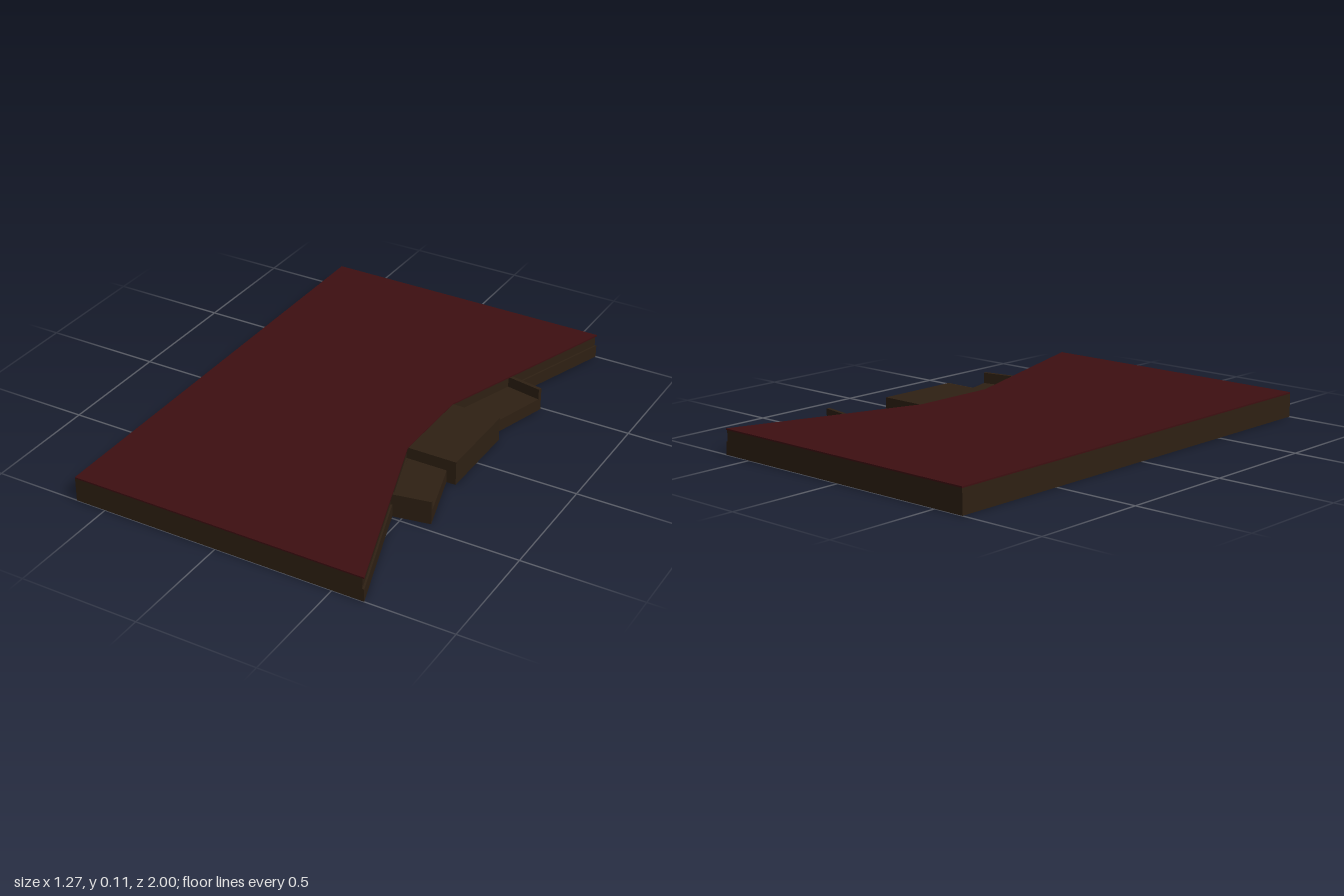
import * as THREE from 'three';

const wood = new THREE.MeshStandardMaterial({ color: 0x2e2013 });
const red = new THREE.MeshStandardMaterial({ color: 0x3d0f11 });

// Upright prism over a floor outline of [x, z] points
function prism(name, outline, y0, y1, material) {
  const shape = new THREE.Shape(outline.map(([x, z]) => new THREE.Vector2(x, -z)));
  const geometry = new THREE.ExtrudeGeometry(shape, { depth: y1 - y0, bevelEnabled: false });
  geometry.rotateX(-Math.PI / 2);
  geometry.translate(0, y0, 0);
  const mesh = new THREE.Mesh(geometry, material);
  mesh.name = name;
  return mesh;
}

// Slab outline with a three-sided bay in the +x edge, pulled in by inset
const slab = (inset) => [
  [-0.633, 1], [0.633 - inset, 1], [0.36 - inset, 0.185],
  [0.36 - inset, -0.195], [0.633 - inset, -1], [-0.633, -1],
];

export function createModel() {
  const group = new THREE.Group();
  group.name = 'desk';

  // Desk body with a shallow recess under the top
  group.add(prism('deskBase', slab(0), 0, 0.054, wood));
  group.add(prism('deskRecess', slab(0.008), 0.054, 0.1, wood));
  group.add(prism('deskTop', slab(0), 0.1, 0.106, red));

  // Full-height block in the middle of the bay
  group.add(prism('centreBlock',
    [[0.35, 0.18], [0.57, 0.18], [0.57, -0.195], [0.35, -0.195]], 0, 0.103, wood));

  // Angled low shelves on both sides, each closed by an end wall
  for (const side of [1, -1]) {
    const at = (x, z) => [x, side * z - 0.01 + (side < 0 ? -0.01 : 0)];
    const inner = at(0.455, 0.5), outer = at(0.613, 0.47);
    const t = 0.016;
    const back = ([x, z]) => [x - t * 0.27, z - side * t * 0.96];
    group.add(prism('sideShelf',
      [at(0.36, 0.19), at(0.53, 0.19), outer, inner], 0, 0.054, wood));
    group.add(prism('shelfEndWall',
      [back(inner), back(outer), outer, inner], 0.054, 0.1, wood));
  }
  return group;
}
